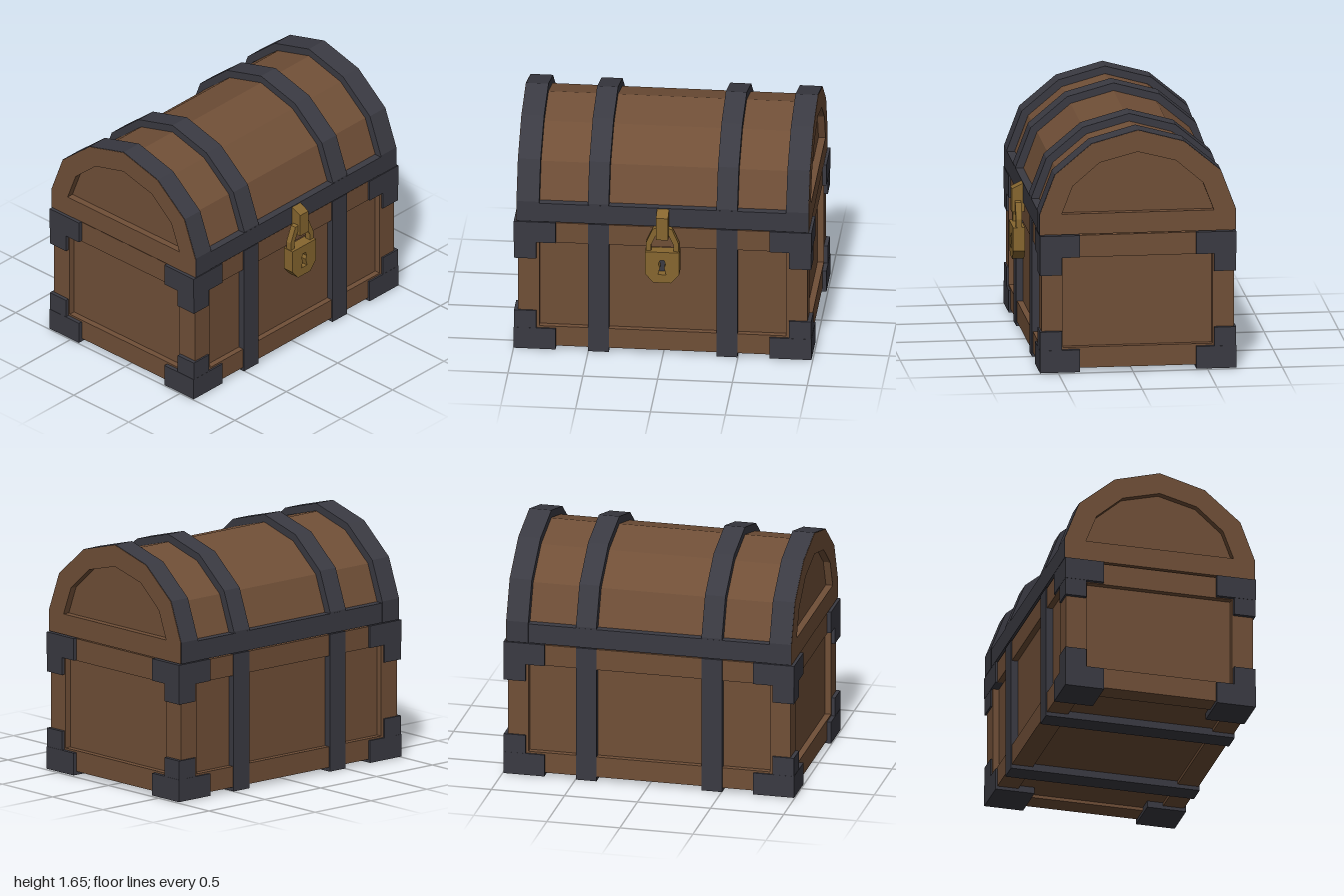
import * as THREE from 'three';

const wood = new THREE.MeshStandardMaterial({ name: 'brown wood', color: 0x704f37 });
const iron = new THREE.MeshStandardMaterial({ name: 'dark iron', color: 0x3a3a42 });
const brass = new THREE.MeshStandardMaterial({ name: 'aged brass', color: 0x86662f });

const toPoints = (list) => list.map(([x, y]) => new THREE.Vector2(x, y));

function add(parent, name, geometry, material) {
  const mesh = new THREE.Mesh(geometry, material);
  mesh.name = name;
  parent.add(mesh);
  return mesh;
}

// Box given by its limits on each axis
function box(parent, name, material, [x0, x1], [y0, y1], [z0, z1]) {
  const geometry = new THREE.BoxGeometry(x1 - x0, y1 - y0, z1 - z0);
  geometry.translate((x0 + x1) / 2, (y0 + y1) / 2, (z0 + z1) / 2);
  return add(parent, name, geometry, material);
}

function extrude(outline, depth, hole) {
  const shape = new THREE.Shape(toPoints(outline));
  if (hole) shape.holes.push(new THREE.Path(toPoints(hole)));
  return new THREE.ExtrudeGeometry(shape, { depth, bevelEnabled: false });
}

// Extrude a (-z, y) profile along x, from x0 to x1
function extrudeX(outline, x0, x1, hole) {
  return extrude(outline, x1 - x0, hole).rotateY(Math.PI / 2).translate(x0, 0, 0);
}

const rect = (x, y0, y1) => [[-x, y0], [x, y0], [x, y1], [-x, y1]];

// Mirror half of an arch (listed from the foot to the crown)
const arch = (half) => [...half, ...half.slice(0, -1).reverse().map(([x, y]) => [-x, y])];

function buildBody(chest) {
  const body = new THREE.Group();
  body.name = 'body';
  chest.add(body);

  // Recessed panels are the faces of one core box
  box(body, 'panels', wood, [-0.925, 0.925], [0.05, 0.935], [-0.605, 0.605]);

  // Raised frames around the panels
  for (const side of [1, -1]) {
    const longFrame = extrude(rect(0.967, 0.028, 0.935), 0.045, rect(0.825, 0.17, 0.79));
    longFrame.translate(0, 0, 0.6);
    if (side < 0) longFrame.rotateY(Math.PI);
    add(body, side > 0 ? 'frontFrame' : 'backFrame', longFrame, wood);

    const endFrame = extrude(rect(0.602, 0.028, 0.935), 0.047, rect(0.5, 0.17, 0.785));
    endFrame.translate(0, 0, 0.92).rotateY(side * Math.PI / 2);
    add(body, side > 0 ? 'leftFrame' : 'rightFrame', endFrame, wood);
  }
  const bottomFrame = extrude(rect(0.92, -0.6, 0.6), 0.03, rect(0.825, -0.5, 0.5));
  add(body, 'bottomFrame', bottomFrame.rotateX(Math.PI / 2).translate(0, 0.058, 0), wood);

  // Iron straps around the front, bottom and back
  for (const x of [-0.43, 0.43]) {
    box(body, 'bodyStrap', iron, [x - 0.07, x + 0.07], [0, 0.938], [-0.652, 0.652]);
  }

  // Stepped iron corner caps
  for (const sx of [1, -1]) for (const sz of [1, -1]) {
    const span = (s, a, b) => (s > 0 ? [a, b] : [-b, -a]);
    const cap = new THREE.Group();
    cap.name = 'cornerCap';
    body.add(cap);
    const wideX = span(sx, 0.715, 0.995), wideZ = span(sz, 0.39, 0.658);
    const slimX = span(sx, 0.845, 0.993), slimZ = span(sz, 0.51, 0.657);
    box(cap, 'lowerCap', iron, wideX, [0.005, 0.157], wideZ);
    box(cap, 'lowerCapPost', iron, slimX, [0.15, 0.285], slimZ);
    box(cap, 'upperCap', iron, wideX, [0.79, 0.94], wideZ);
    box(cap, 'upperCapPost', iron, slimX, [0.67, 0.8], slimZ);
  }
}

function buildLid(chest) {
  const lid = new THREE.Group();
  lid.name = 'lid';
  chest.add(lid);

  const outer = [[0.655, 0.945], [0.655, 1.09], [0.555, 1.355], [0.31, 1.56], [0, 1.645]];
  const inner = [[0.605, 0.945], [0.605, 1.075], [0.512, 1.325], [0.287, 1.513], [0, 1.593]];
  const panel = [[0.51, 1.085], [0.437, 1.275], [0.255, 1.432], [0, 1.498]];
  const band = [...arch(outer), ...arch(inner).reverse()];

  add(lid, 'lidVault', extrudeX(arch(inner), -0.93, 0.93), wood);

  // End boards with a recessed arched panel
  add(lid, 'leftEndBoard', extrudeX(arch(outer), 0.925, 0.977, arch(panel)), wood);
  add(lid, 'rightEndBoard', extrudeX(arch(outer), -0.977, -0.925, arch(panel)), wood);

  // Iron hoops over the vault; the end hoops sit just proud of the boards
  for (const [x0, x1] of [[0.36, 0.5], [-0.5, -0.36]]) {
    add(lid, 'lidStrap', extrudeX(band, x0, x1), iron);
  }
  for (const [x0, x1] of [[0.825, 0.974], [-0.974, -0.825]]) {
    const hoop = add(lid, 'endHoop', extrudeX(band, x0, x1), iron);
    hoop.geometry.translate(0, -0.945, 0).scale(1, 1.004, 1.004).translate(0, 0.945, 0);
  }

  // Rim bars along the front and back
  box(lid, 'frontRim', iron, [-0.974, 0.974], [0.946, 1.08], [0.6, 0.656]);
  box(lid, 'backRim', iron, [-0.974, 0.974], [0.946, 1.08], [-0.656, -0.6]);
}

function buildLock(model) {
  const lock = new THREE.Group();
  lock.name = 'padlock';
  model.add(lock);

  // Hasp with a sloped top
  const hasp = [[-0.6, 0.88], [-0.6, 1.08], [-0.622, 1.075], [-0.695, 1.04], [-0.695, 0.88]];
  add(lock, 'hasp', extrudeX(hasp, -0.04, 0.04), brass);

  // Angular shackle
  const shackle = [
    ...arch([[0.11, 0.78], [0.11, 0.845], [0.065, 0.95], [0, 0.97]]),
    ...arch([[0.075, 0.78], [0.075, 0.835], [0.035, 0.92], [0, 0.93]]).reverse(),
  ];
  add(lock, 'shackle', extrude(shackle, 0.04).translate(0, 0, 0.635), brass);

  // Lock case with a keyhole
  const caseShape = [[-0.115, 0.63], [-0.06, 0.565], [0.06, 0.565], [0.115, 0.63], [0.115, 0.79], [-0.115, 0.79]];
  const keyhole = [[-0.027, 0.625], [0.027, 0.625], [0.014, 0.675], [0.024, 0.7], [0.014, 0.73],
    [-0.014, 0.73], [-0.024, 0.7], [-0.014, 0.675]];
  add(lock, 'lockCase', extrude(caseShape, 0.079, keyhole).translate(0, 0, 0.616), brass);
  box(lock, 'keyholeBack', iron, [-0.04, 0.04], [0.61, 0.74], [0.63, 0.636]);
}

export function createModel() {
  const model = new THREE.Group();
  model.name = 'treasureChest';

  const chest = new THREE.Group();
  chest.name = 'chest';
  chest.position.set(-0.003, 0, -0.035);
  model.add(chest);

  buildBody(chest);
  buildLid(chest);
  buildLock(model);
  return model;
}
